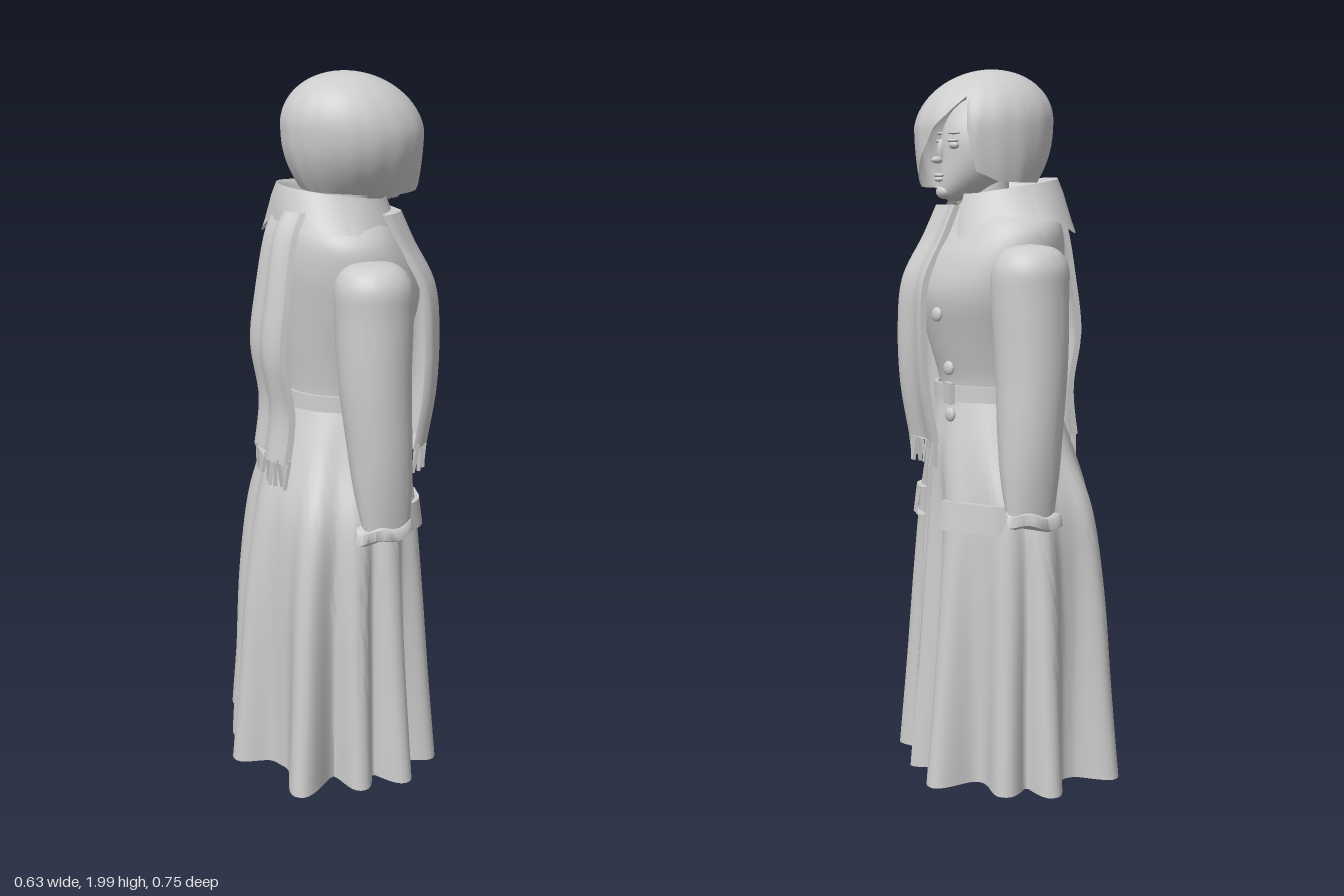
import * as THREE from 'three';
import { toCreasedNormals } from 'three/addons/utils/BufferGeometryUtils.js';

const grey = new THREE.MeshStandardMaterial({ color: 0xcccccc, side: THREE.DoubleSide });
grey.name = 'clay grey';
const TAU = Math.PI * 2;
const { lerp, clamp } = THREE.MathUtils;

// Piecewise linear lookup in rows [key, a, b, ...] with rising keys
function sample(rows, k) {
  let i = 0;
  while (i < rows.length - 2 && rows[i + 1][0] < k) i++;
  const t = clamp((k - rows[i][0]) / (rows[i + 1][0] - rows[i][0]), 0, 1);
  return rows[i].slice(1).map((v, c) => lerp(v, rows[i + 1][c + 1], t));
}

// Smooth curve through each column of the rows, n + 1 rows out
function smoothRows(rows, n) {
  const out = [];
  for (let i = 0; i <= n; i++) {
    const f = (i / n) * (rows.length - 1), k = Math.min(Math.floor(f), rows.length - 2), t = f - k;
    const at = (j) => rows[clamp(j, 0, rows.length - 1)];
    out.push(rows[k].map((_, c) => {
      const a = at(k - 1)[c], b = at(k)[c], d = at(k + 1)[c], e = at(k + 2)[c];
      return b + 0.5 * t * (d - a + t * (2 * a - 5 * b + 4 * d - e + t * (3 * (b - d) + e - a)));
    }));
  }
  return out;
}

// Skin rows of points, listed from top to bottom
function loft(rings, { closed = true, caps = false, crease = 1.0 } = {}) {
  const m = rings[0].length, pos = rings.flat(2), idx = [];
  const cols = closed ? m : m - 1;
  for (let i = 0; i < rings.length - 1; i++) {
    for (let j = 0; j < cols; j++) {
      const a = i * m + j, b = i * m + (j + 1) % m;
      idx.push(a, b, a + m, b, b + m, a + m);
    }
  }
  if (caps) {
    const last = (rings.length - 1) * m;
    for (let j = 1; j < m - 1; j++) idx.push(0, j + 1, j, last, last + j, last + j + 1);
  }
  const g = new THREE.BufferGeometry();
  g.setAttribute('position', new THREE.Float32BufferAttribute(pos, 3));
  g.setIndex(idx);
  return toCreasedNormals(g, crease);
}

// Horizontal loop round the body; point(a) gives [x, y, z]
const loop = (n, point, from = 0, span = TAU) =>
  Array.from({ length: n }, (_, j) => point(from + (span * j) / (span === TAU ? n : n - 1)));
const oval = (n, y, cx, cz, rx, rz) =>
  loop(n, (a) => [cx + rx * Math.cos(a), y, cz + rz * Math.sin(a)]);
const angleGap = (a, b) => Math.atan2(Math.sin(a - b), Math.cos(a - b));

export function createModel() {
  const root = new THREE.Group();
  const add = (name, geo, x = 0, y = 0, z = 0) => {
    const m = new THREE.Mesh(geo, grey);
    m.name = name;
    m.position.set(x, y, z);
    root.add(m);
    return m;
  };

  // Coat bodice: y, centre x, radius x, radius z
  const bodice = smoothRows([
    [1.64, 0.02, 0.1, 0.1], [1.61, 0.02, 0.135, 0.17], [1.56, 0.025, 0.16, 0.228], [1.48, 0.045, 0.19, 0.238],
    [1.38, 0.06, 0.2, 0.225], [1.25, 0.05, 0.18, 0.19], [1.14, 0.04, 0.16, 0.168], [1.07, 0.04, 0.16, 0.168],
  ], 36);
  add('bodice', loft(bodice.map(([y, cx, rx, rz]) => oval(56, y, cx, 0.005, rx, rz))));

  // Belt with buckle
  add('belt', loft([[1.13, 0.163], [1.13, 0.173], [1.085, 0.175], [1.085, 0.163]]
    .map(([y, r]) => oval(56, y, 0.04, 0.005, r, r + 0.006)), { crease: 0.5 }));
  add('buckle', new THREE.BoxGeometry(0.015, 0.06, 0.05), 0.205, 1.107, -0.05);

  // Flared skirt on a squarish plan, with rounded pleats given as angle and depth
  const pleats = [[-2.87, 0.6], [-2.22, 1.05], [-1.49, 1.15], [-1.07, 0.9], [-0.42, 1.2], [0.1, 0.9],
    [0.7, 1], [1.2, 1.15], [1.62, 1], [2.17, 1.3], [2.97, 1]];
  const pleat = (a) => pleats.reduce((s, [p, d]) =>
    Math.max(s, d * Math.exp(-((Math.abs(angleGap(a, p)) / 0.18) ** 2.6))), 0);
  const slit = (a) => Math.exp(-((angleGap(a, 0.13) / 0.035) ** 2));
  const square = (a) => (Math.abs(Math.cos(a)) ** 2.5 + Math.abs(Math.sin(a)) ** 2.5) ** -0.4;
  const skirt = smoothRows([
    [1.1, 0.04, 0.16, 0.165, 0], [0.95, 0.028, 0.197, 0.213, 0.006], [0.78, 0.008, 0.212, 0.268, 0.022],
    [0.55, 0, 0.22, 0.276, 0.044], [0.28, 0, 0.22, 0.273, 0.068], [0.018, 0, 0.22, 0.27, 0.094],
  ], 30);
  const skirtPoint = ([y, cx, rx, rz, amp], a, inset = 0) => {
    const d = amp * pleat(a) - amp * 0.5 * slit(a) - inset;
    const q = lerp(1, square(a), clamp((1.1 - y) / 0.3, 0, 1));
    return [cx + (rx * q + d) * Math.cos(a), y - 0.06 * amp * pleat(a), 0.002 + (rz * q + d) * Math.sin(a)];
  };
  const outer = skirt.map((r) => loop(180, (a) => skirtPoint(r, a)));
  const inner = [30, 28].map((i) => loop(180, (a) => skirtPoint(skirt[i], a, 0.008)));
  add('skirt', loft([...outer, ...inner], { crease: 1.2 }));

  // Sleeves, round outside and flatter inside: y, centre x, centre z, radius x, outer radius, inner radius
  const sleeve = smoothRows([
    [1.525, 0.04, 0.25, 0.004, 0.004, 0.004], [1.512, 0.04, 0.25, 0.07, 0.064, 0.045],
    [1.465, 0.042, 0.25, 0.104, 0.1, 0.064], [1.38, 0.044, 0.252, 0.107, 0.102, 0.064],
    [1.2, 0.044, 0.262, 0.1, 0.098, 0.062], [1.02, 0.054, 0.278, 0.09, 0.083, 0.062],
    [0.9, 0.06, 0.292, 0.082, 0.062, 0.055], [0.79, 0.065, 0.306, 0.068, 0.036, 0.035],
  ], 40);
  for (const s of [1, -1]) {
    const side = s > 0 ? 'left' : 'right';
    add(side + 'Sleeve', loft(sleeve.map(([y, cx, cz, rx, ro, ri]) => loop(48, (a) => {
      const w = Math.sin(a) * s;
      return [cx + rx * Math.cos(a), y, s * (cz + (w > 0 ? ro * w : -ri * (-w) ** 0.65)) + 0.01];
    }))));
    add(side + 'Cuff', loft([[0.8, 0.066, 0.035], [0.795, 0.08, 0.042], [0.765, 0.085, 0.042], [0.76, 0.07, 0.034]]
      .map(([y, rx, rz]) => loop(40, (a) => [0.057 + rx * Math.cos(a),
        y + 0.006 * Math.sin(a * 4) + 0.008 * Math.cos(a), s * 0.308 + 0.01 + rz * Math.sin(a)])), { caps: true }));
    // Pocket flap following the hip
    const flap = [0.815, 0.735].map((y, i) => loop(12,
      (a) => skirtPoint([y, 0.012, 0.229 + i * 0.012, 0.275, 0.012], a), s > 0 ? 0.38 : -1.1, 0.76));
    const back = flap.map((r) => r.map(([x, y, z]) => [x - 0.025, y, z * 0.93]));
    add(side + 'PocketFlap', loft([back[0], flap[0], flap[1], back[1]], { closed: false, crease: 0.6 }));
  }

  // Buttons down the front
  for (const [x, y] of [[0.249, 1.33], [0.215, 1.18], [0.212, 1.05]]) {
    const b = add('button', new THREE.SphereGeometry(0.02, 20, 12), x, y, -0.075);
    b.scale.x = 0.5;
    b.rotation.y = 0.3;
  }

  // Fold-down collar with points as angle, width and depth: two in front, a small one behind
  const tips = [[0.78, 0.36, 0.9], [-0.66, 0.32, 1], [-2.5, 0.4, 0.45]];
  const tip = (a) => tips.reduce((s, [p, w, d]) => s + d * Math.exp(-((angleGap(a, p) / w) ** 2)), 0);
  const collar = [[1.56, 0.125, 0.135, 0], [1.63, 0.125, 0.128, 0], [1.672, 0.142, 0.135, 0], [1.68, 0.152, 0.142, 0.02],
    [1.65, 0.162, 0.158, 0.25], [1.6, 0.166, 0.195, 0.8], [1.585, 0.168, 0.208, 1]];
  add('collar', loft(collar.map(([y, rx, rz, k]) => loop(72, (a) => [
    0.013 + (rx + 0.062 * k * tip(a)) * Math.cos(a),
    y - 0.022 * Math.cos(a) * (y > 1.57 ? 1 : 0) - 0.12 * k * tip(a),
    0.005 + (rz + 0.045 * k * tip(a)) * Math.sin(a)], 0.36, TAU - 0.72)), { closed: false }));

  // Scarf ends, curling at the outer edge: x, y, centre z, half width
  const scarfEnd = (name, rows, dir, wave, bend) => {
    const curl = (t) => dir * (wave * Math.sin(t * 5) - 0.01 * t * t - bend * Math.max(t, 0) ** 3);
    const n = 16, face = (r, off) => Array.from({ length: n }, (_, j) => {
      const t = (j / (n - 1)) * 2 - 1;
      return [r[0] + off + curl(t), r[1], r[2] + r[3] * t];
    });
    add(name, loft(smoothRows(rows, 28).map((r) => [...face(r, dir * 0.009), ...face(r, -dir * 0.009).reverse()]),
      { caps: true, crease: 0.9 }));
    const [x, y, zc, hw] = rows[rows.length - 1];
    for (let i = 0; i < 15; i++) {
      const t = (i / 14) * 2 - 1;
      const f = add(name + 'Fringe', new THREE.BoxGeometry(0.009, 0.085, 0.009),
        x + curl(t), y - 0.03, zc + t * (hw - 0.006));
      f.rotation.x = 0.12 * Math.sin(i * 2.3);
      f.rotation.z = 0.15 * Math.sin(i * 1.7);
    }
  };
  scarfEnd('frontScarf', [[0.17, 1.625, 0.066, 0.09], [0.208, 1.54, 0.07, 0.098], [0.267, 1.42, 0.077, 0.112],
    [0.278, 1.28, 0.083, 0.122], [0.27, 1.12, 0.086, 0.128], [0.245, 0.97, 0.084, 0.13]], 1, 0.008, 0.035);
  scarfEnd('backScarf', [[-0.13, 1.64, 0.06, 0.07], [-0.165, 1.57, 0.07, 0.085], [-0.193, 1.42, 0.083, 0.1],
    [-0.211, 1.26, 0.09, 0.108], [-0.188, 1.1, 0.093, 0.11], [-0.203, 0.96, 0.095, 0.11]], -1, 0.01, 0);

  // Neck and head, narrowing to the chin
  add('neck', new THREE.CylinderGeometry(0.055, 0.065, 0.16, 24), 0.06, 1.63, 0.005);
  const head = new THREE.SphereGeometry(1, 40, 32);
  const p = head.attributes.position;
  for (let i = 0; i < p.count; i++) {
    const x = p.getX(i), y = p.getY(i), z = p.getZ(i), k = y < 0 ? y * y : 0;
    p.setXYZ(i, 0.122 * x + 0.085 * k, 0.145 * y, 0.1 * z * (1 - 0.4 * k));
  }
  head.computeVertexNormals();
  add('head', head, 0.08, 1.782, 0);
  const blob = (name, x, y, z, sx, sy, sz) => add(name, new THREE.SphereGeometry(1, 16, 12), x, y, z).scale.set(sx, sy, sz);
  blob('noseBridge', 0.202, 1.775, 0.003, 0.014, 0.032, 0.01);
  blob('noseTip', 0.215, 1.75, 0.004, 0.018, 0.01, 0.013);
  blob('upperLip', 0.21, 1.708, 0.004, 0.012, 0.006, 0.026);
  blob('lowerLip', 0.21, 1.697, 0.004, 0.012, 0.007, 0.021);
  blob('chin', 0.195, 1.663, 0.005, 0.022, 0.02, 0.028);
  for (const z of [-0.043, 0.048]) {
    blob('eye', 0.183, 1.79, z, 0.014, 0.012, 0.022);
    blob('eyelid', 0.187, 1.802, z, 0.014, 0.005, 0.027);
    blob('brow', 0.184, 1.823, z, 0.014, 0.004, 0.028);
  }

  // Bobbed hair, tucked in below, with a fringe swept across the face: azimuth, hairline height
  const hairline = [[-3.15, 1.685], [-1.5, 1.69], [-1.1, 1.72], [-0.88, 1.925], [-0.4, 1.84], [0, 1.75],
    [0.4, 1.675], [1.1, 1.67], [2, 1.68], [3.15, 1.685]];
  const hair = [];
  for (let i = 0; i <= 30; i++) {
    hair.push(loop(96, (a) => {
      const t = i / 30, low = sample(hairline, a)[0], y = 2 - (2 - low) * t * t * (1.6 - 0.6 * t);
      const u = Math.max(0, 1.84 - y) / 0.16, c = Math.cos(a), s = Math.sin(a);
      const tuck = 0.04 * Math.max(c, 0) ** 2 + 0.3 * Math.max(-c, 0) ** 2 + (s > 0 ? 0.45 : 0.12) * s * s;
      const w = y > 1.84 ? Math.sqrt(Math.max(0, 1 - ((y - 1.84) / 0.16) ** 2)) : 1 - u * u * tuck;
      const strand = 1 + 0.008 * Math.sin(a * 17 + 2 * t) * t + 0.045 * Math.sin(2 * a);
      const lean = 0.025 * clamp((y - 1.84) / 0.16, 0, 1);
      return [0.065 - lean + 0.193 * w * strand * c, y, 0.028 + 0.16 * w * strand * s];
    }, -Math.PI));
  }
  add('hair', loft(hair, { crease: 1.3 }));

  return root;
}
